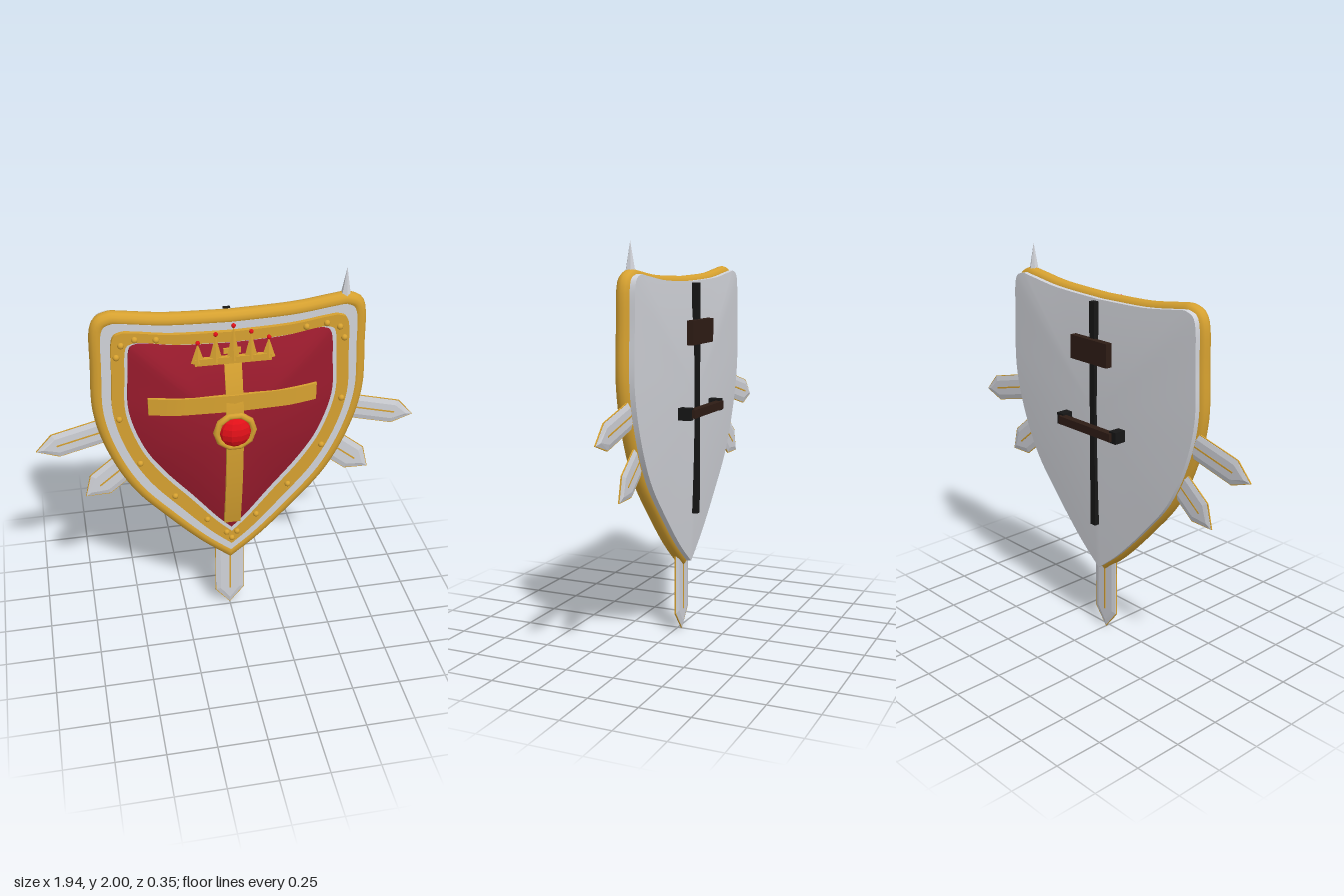
import * as THREE from 'three';
import { toCreasedNormals } from 'three/addons/utils/BufferGeometryUtils.js';

const mat = (color) => new THREE.MeshStandardMaterial({ color });
const gold = mat(0xd6a130), silver = mat(0xd0d2d8), red = mat(0x9a1b2d);
const gemRed = mat(0xe01018), black = mat(0x161616), brown = mat(0x2e1c15);
gemRed.flatShading = true;

// Half outline of the shield: [rim x, rim y, field x, field y], top centre to tip
const HALF = [
  [0, 1.795, 0, 1.675], [0.3, 1.805, 0.25, 1.685], [0.5, 1.83, 0.4, 1.71], [0.575, 1.835, 0.46, 1.71],
  [0.625, 1.79, 0.49, 1.68], [0.635, 1.6, 0.5, 1.55], [0.64, 1.35, 0.505, 1.35], [0.585, 1.12, 0.44, 1.14],
  [0.475, 0.89, 0.34, 0.98], [0.31, 0.69, 0.2, 0.81], [0.14, 0.51, 0.08, 0.66], [0, 0.39, 0, 0.575],
];
const CENTRE = new THREE.Vector2(0, 1.24);

// Full outline; t = 0 is the rim centre line, t = 1 the edge of the red field
function outline(t) {
  const lerp = THREE.MathUtils.lerp;
  const curve = new THREE.SplineCurve(HALF.map((p) => new THREE.Vector2(lerp(p[0], p[2], t), lerp(p[1], p[3], t))));
  const right = curve.getPoints(55);
  const left = right.slice(1, -1).reverse().map((p) => new THREE.Vector2(-p.x, p.y));
  return [...right, ...left];
}

// Surface through a grid of points f(i, j)
function grid(rows, cols, f, flip = false, crease = 0.8) {
  const pos = [], index = [];
  for (let i = 0; i <= rows; i++) for (let j = 0; j <= cols; j++) pos.push(...f(i, j));
  for (let i = 0; i < rows; i++) for (let j = 0; j < cols; j++) {
    const a = i * (cols + 1) + j, b = a + 1, c = a + cols + 1, d = c + 1;
    index.push(...(flip ? [a, c, b, b, c, d] : [a, b, c, b, d, c]));
  }
  const g = new THREE.BufferGeometry();
  g.setAttribute('position', new THREE.Float32BufferAttribute(pos, 3));
  g.setIndex(index);
  return toCreasedNormals(g, crease);
}

// Domed sheet filling an outline
function dome(pts, z0, height, flip) {
  const n = 14;
  return grid(n, pts.length, (i, j) => {
    const r = i / n, p = pts[j % pts.length];
    return [r * p.x, CENTRE.y + r * (p.y - CENTRE.y), z0 + height * (1 - r * r)];
  }, flip);
}

// Rounded bar swept along a closed outline, mitred at the tip
function sweep(pts, ru, rz, z, sides = 12) {
  const n = pts.length;
  const normal = (a, b) => new THREE.Vector2(a.y - b.y, b.x - a.x).normalize();
  return grid(n, sides, (i, j) => {
    const p = pts[i % n], n1 = normal(pts[(i + n - 1) % n], p), n2 = normal(p, pts[(i + 1) % n]);
    const m = n1.clone().add(n2).normalize();
    const a = (j / sides) * Math.PI * 2, u = (Math.cos(a) * ru) / m.dot(n1);
    return [p.x + m.x * u, p.y + m.y * u, z + Math.sin(a) * rz];
  });
}

function slab(pts, z0, z1, hole) {
  const shape = new THREE.Shape(pts);
  if (hole) shape.holes.push(new THREE.Path(hole));
  const g = new THREE.ExtrudeGeometry(shape, { depth: z1 - z0, bevelEnabled: false });
  return toCreasedNormals(g.translate(0, 0, z0), 0.6);
}

// Height of the red field at (x, y)
const FIELD = outline(1);
function fieldZ(x, y) {
  let r = 0;
  FIELD.forEach((a, i) => {
    const b = FIELD[(i + 1) % FIELD.length];
    const nx = a.y - b.y, ny = b.x - a.x;
    r = Math.max(r, (nx * x + ny * (y - CENTRE.y)) / (nx * a.x + ny * (a.y - CENTRE.y)));
  });
  return 0.035 + 0.085 * (1 - Math.min(r, 1) ** 2);
}

// Bar of the cross, bent over the field
function bentBar(w, h, y) {
  const g = new THREE.BoxGeometry(w, h, 0.03, w > h ? 24 : 2, h > w ? 32 : 2, 1).translate(0, y, 0);
  const p = g.attributes.position;
  for (let i = 0; i < p.count; i++) {
    const onAxis = w > h ? fieldZ(p.getX(i), y) : fieldZ(0, p.getY(i));
    p.setZ(i, p.getZ(i) + onAxis);
  }
  return toCreasedNormals(g, 0.6);
}

// Blade pointing along +x from the origin: steel body, gold edge and groove
function blade(length, width) {
  const group = new THREE.Group();
  const make = (w, l, depth, bevel) => {
    const s = new THREE.Shape([[0, -w], [l - 0.1, -w], [l, 0], [l - 0.1, w], [0, w]].map((p) => new THREE.Vector2(...p)));
    return new THREE.ExtrudeGeometry(s, {
      depth, bevelEnabled: bevel, bevelSize: 0.025, bevelOffset: -0.025, bevelThickness: 0.007, bevelSegments: 1,
    }).translate(0, 0, -depth / 2);
  };
  const steel = new THREE.Mesh(make(width / 2 - 0.003, length - 0.004, 0.008, true), silver);
  steel.name = 'bladeSteel';
  const edge = new THREE.Mesh(make(width / 2, length, 0.006, false), gold);
  edge.name = 'bladeEdge';
  const groove = new THREE.Mesh(new THREE.BoxGeometry(length * 0.5, 0.008, 0.025), gold);
  groove.position.x = length * 0.53;
  groove.name = 'bladeGroove';
  group.add(steel, edge, groove);
  return group;
}

export function createModel() {
  const model = new THREE.Group();
  const add = (name, geometry, material, x = 0, y = 0, z = 0) => {
    const mesh = new THREE.Mesh(geometry, material);
    mesh.name = name;
    mesh.position.set(x, y, z);
    model.add(mesh);
    return mesh;
  };

  // Shield body
  const back = outline(-0.1);
  add('backPlate', dome(back, -0.075, -0.025, true), silver);
  add('backPlateEdge', slab(back, -0.075, -0.02), silver);
  add('frontPlate', slab(outline(0.1), -0.02, 0.02), silver);
  add('rim', sweep(outline(0), 0.037, 0.037, -0.015), gold);
  add('innerBand', slab(outline(0.43), 0.01, 0.042, outline(0.88)), gold);
  add('fieldEdge', slab(FIELD, 0.01, 0.035), red);
  add('field', dome(FIELD, 0.035, 0.085, false), red);

  // Rivets on the inner band
  const rivet = new THREE.SphereGeometry(0.016, 10, 8);
  const rivets = [[0.36, 1.735], [0.46, 1.745], [0.525, 1.72], [0.55, 1.66], [0.555, 1.32], [0.465, 1.05],
    [0.295, 0.825], [0.13, 0.65], [0.028, 0.55]];
  for (const [x, y] of rivets) for (const s of [-1, 1]) add('rivet', rivet, gold, s * x, y, 0.042);
  add('rivet', rivet, gold, 0, 0.51, 0.042);

  // Cross, boss and gem
  add('crossUpright', bentBar(0.085, 1.03, 1.145), gold);
  add('crossArm', bentBar(0.83, 0.09, 1.395), gold);
  add('bossRing', new THREE.TorusGeometry(0.092, 0.018, 8, 10), gold, 0, CENTRE.y, 0.125);
  add('bossDisc', new THREE.CylinderGeometry(0.092, 0.092, 0.03, 20).rotateX(Math.PI / 2), gold, 0, CENTRE.y, 0.115);
  add('gem', new THREE.SphereGeometry(0.085, 10, 8).scale(1, 1, 0.7), gemRed, 0, CENTRE.y, 0.12);

  // Crown
  add('crownBase', new THREE.BoxGeometry(0.37, 0.035, 0.022), gold, 0, 1.615, 0.074);
  for (let i = -2; i <= 2; i++) {
    const h = 0.18 - Math.abs(i) * 0.038;
    const spike = new THREE.ConeGeometry(0.034, h, 4).scale(1, 1, 0.4);
    add('crownSpike', toCreasedNormals(spike, 0.4), gold, i * 0.085, 1.61 + h / 2, 0.076);
    add('crownBead', new THREE.SphereGeometry(0.011, 10, 8), gemRed, i * 0.085, 1.615 + h, 0.08);
  }

  // Blades behind the rim and the point on the left shoulder
  const blades = [[0.5, 1.25, -0.25, 0.485, 0.135, -0.037], [0.4, 1.11, -0.68, 0.445, 0.155, -0.035]];
  for (const [x, y, angle, length, width, z] of blades) for (const s of [-1, 1]) {
    const b = blade(length, width);
    b.name = s > 0 ? 'leftBlade' : 'rightBlade';
    b.position.set(s * x, y, z);
    b.rotation.z = s > 0 ? angle : Math.PI - angle;
    model.add(b);
  }
  const lower = blade(0.5, 0.16);
  lower.name = 'lowerBlade';
  lower.position.set(0, 0.5, -0.02);
  lower.rotation.z = -Math.PI / 2;
  model.add(lower);
  add('shoulderPoint', toCreasedNormals(new THREE.ConeGeometry(0.032, 0.18, 6), 0.4), silver, 0.56, 1.91, -0.012);

  // Strap, pad and hand grip on the back
  add('strap', new THREE.BoxGeometry(0.035, 1.17, 0.03), black, 0, 1.215, -0.1);
  add('armPad', new THREE.BoxGeometry(0.26, 0.12, 0.035), brown, 0, 1.56, -0.122);
  add('grip', new THREE.BoxGeometry(0.38, 0.042, 0.038), brown, 0, 1.17, -0.156);
  for (const s of [-1, 1]) {
    add('gripMount', new THREE.BoxGeometry(0.045, 0.06, 0.075), black, s * 0.195, 1.17, -0.122);
  }
  return model;
}
